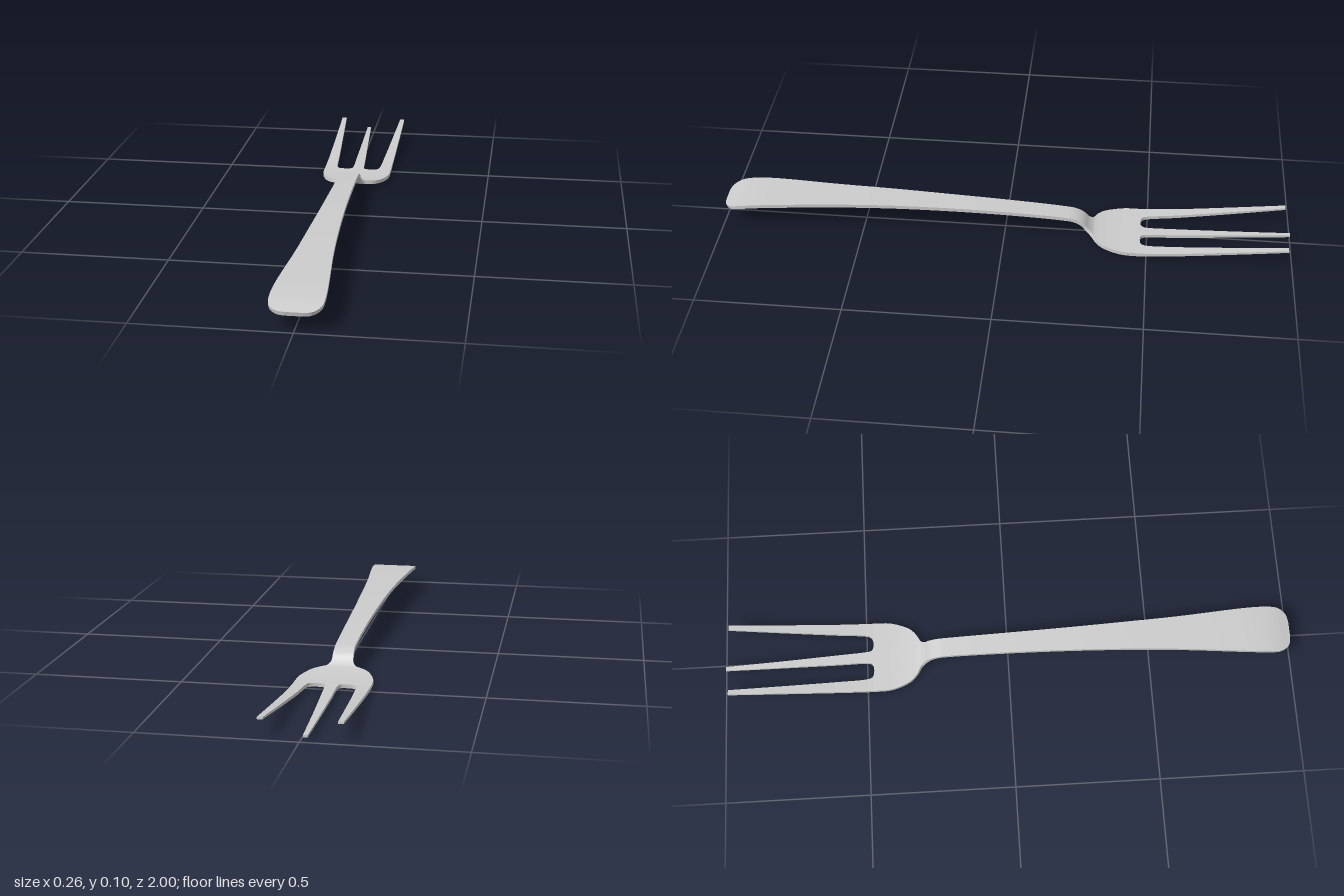
import * as THREE from 'three';

const material = new THREE.MeshStandardMaterial({ color: 0xcccccc });

// Lofts a bent metal strip through rows of [z, left x, right x, centre y, thickness].
function strip(name, rows, steps) {
  const leftEdge = new THREE.CatmullRomCurve3(rows.map(([z, a, , y]) => new THREE.Vector3(a, y, z)));
  const rightEdge = new THREE.CatmullRomCurve3(rows.map(([z, , b, y]) => new THREE.Vector3(b, y, z)));
  const spine = new THREE.CatmullRomCurve3(rows.map(([z, , , y]) => new THREE.Vector3(0, y, z)));
  const n = (rows.length - 1) * steps;
  const corners = [[], [], [], []]; // top left, top right, bottom right, bottom left
  for (let i = 0; i <= n; i++) {
    const t = i / n;
    const k = Math.min(Math.floor(i / steps), rows.length - 2);
    const half = THREE.MathUtils.lerp(rows[k][4], rows[k + 1][4], i / steps - k) / 2;
    const dir = spine.getTangent(t);
    const offset = new THREE.Vector3(0, -dir.z, dir.y).multiplyScalar(half);
    const l = leftEdge.getPoint(t), r = rightEdge.getPoint(t);
    corners[0].push(l.clone().add(offset));
    corners[1].push(r.clone().add(offset));
    corners[2].push(r.clone().sub(offset));
    corners[3].push(l.clone().sub(offset));
  }
  const pos = [], index = [];
  const add = (...points) => {
    const base = pos.length / 3;
    points.forEach((p) => pos.push(p.x, p.y, p.z));
    return base;
  };
  // Four separate sides keep the long edges crisp
  for (let s = 0; s < 4; s++) {
    const p = corners[s], q = corners[(s + 1) % 4];
    for (let i = 0; i <= n; i++) {
      const a = add(p[i], q[i]);
      if (i < n) index.push(a, a + 1, a + 3, a, a + 3, a + 2);
    }
  }
  // End caps
  const [tl, tr, br, bl] = corners;
  for (const quad of [[tl[0], bl[0], br[0], tr[0]], [tl[n], tr[n], br[n], bl[n]]]) {
    const a = add(...quad);
    index.push(a, a + 1, a + 2, a, a + 2, a + 3);
  }
  const geometry = new THREE.BufferGeometry();
  geometry.setAttribute('position', new THREE.Float32BufferAttribute(pos, 3));
  geometry.setIndex(index);
  geometry.computeVertexNormals();
  const mesh = new THREE.Mesh(geometry, material);
  mesh.name = name;
  return mesh;
}

export function createModel() {
  const group = new THREE.Group();
  group.name = 'fork';

  // Handle, bent neck and bowl: z, half width, centre y
  const body = [
    [0.998, 0.03, 0.06], [0.993, 0.052, 0.061], [0.98, 0.07, 0.065], [0.96, 0.081, 0.071],
    [0.93, 0.084, 0.077], [0.86, 0.082, 0.084], [0.6, 0.061, 0.09], [0.4, 0.05, 0.092],
    [0.2, 0.042, 0.089], [0, 0.037, 0.083], [-0.2, 0.034, 0.072], [-0.245, 0.034, 0.066],
    [-0.272, 0.035, 0.052], [-0.29, 0.037, 0.033], [-0.307, 0.048, 0.02], [-0.323, 0.075, 0.015],
    [-0.345, 0.097, 0.012], [-0.38, 0.114, 0.009], [-0.42, 0.125, 0.0075], [-0.476, 0.127, 0.007],
  ].map(([z, w, y]) => [z, -w, w, y, 0.013]);
  group.add(strip('handleAndBowl', body, 5));

  // Outer tines, rising to the tips: z, inner x, outer x, centre y, thickness
  const outer = [
    [-0.476, 0.05, 0.127, 0.007, 0.013], [-0.479, 0.068, 0.127, 0.007, 0.013],
    [-0.487, 0.078, 0.127, 0.0075, 0.013], [-0.505, 0.083, 0.127, 0.0085, 0.012],
    [-0.6, 0.089, 0.127, 0.016, 0.011], [-0.8, 0.101, 0.128, 0.039, 0.009],
    [-0.985, 0.112, 0.129, 0.062, 0.007],
  ];
  group.add(strip('leftTine', outer, 4));
  group.add(strip('rightTine', outer.map(([z, a, b, y, t]) => [z, -b, -a, y, t]), 4));

  // Middle tine, slightly skewed and almost level
  group.add(strip('middleTine', [
    [-0.476, -0.05, 0.05, 0.007, 0.013], [-0.479, -0.031, 0.031, 0.007, 0.013],
    [-0.487, -0.023, 0.023, 0.007, 0.013], [-0.505, -0.02, 0.02, 0.007, 0.012],
    [-0.6, -0.021, 0.014, 0.008, 0.011], [-0.8, -0.023, 0.001, 0.013, 0.009],
    [-1, -0.025, -0.011, 0.02, 0.007],
  ], 4));

  return group;
}
